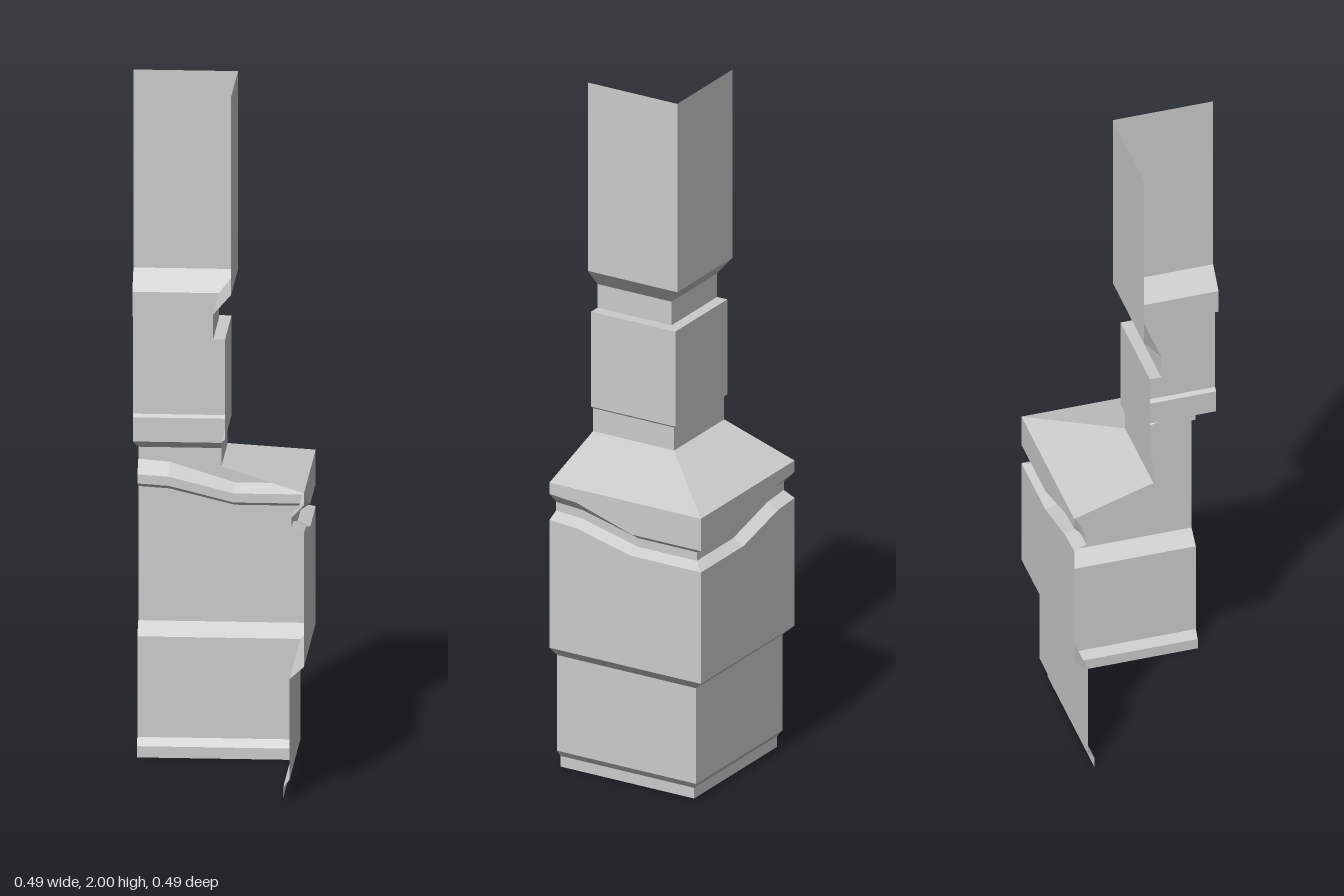
import * as THREE from 'three';

const END = 0.247; // where both wings stop

// Each band lists rows from top to bottom: [offset of the corner, height, rise toward the wing ends]
const bands = {
  upperPanel: [[0.043, 2, 0], [0.043, 1.435, 0]],
  upperNeck: [[0.043, 1.435, 0], [-0.007, 1.378, 0], [-0.007, 1.307, 0], [0.026, 1.307, 0]],
  middlePanel: [[0.026, 1.307, 0], [0.026, 1.022, 0]],
  lowerNeck: [[0.026, 1.022, 0], [0.016, 1.014, 0], [0.016, 0.945, 0]],
  slopedLedge: [[0.016, 0.945, 0], [0.245, 0.872, 0]],
  ledgeFascia: [[0.245, 0.872, 0], [0.245, 0.775, 0.063]],
  wavyGroove: [[0.245, 0.775, 0.063], [0.21, 0.752, 0.05], [0.21, 0.726, 0.05], [0.245, 0.711, 0.049]],
  lowerPanel: [[0.245, 0.711, 0.049], [0.245, 0.377, 0]],
  lowerBevel: [[0.245, 0.377, 0], [0.205, 0.341, 0]],
  skirtPanel: [[0.205, 0.341, 0], [0.205, 0.054, 0]],
  footRail: [[0.205, 0.054, 0], [0.187, 0.032, 0], [0.187, 0, 0]],
};

// One row of points: along the back wing, round the corner, along the side wing
function rowPoints([o, y, rise]) {
  const near = Math.min(0.02, o - 0.02);
  const z = -o - 0.001;
  return [
    [-END, y + rise, z], [-0.16, y + rise * 0.89, z], [near, y, z],
    [o, y, z],
    [o, y, -near], [o, y + rise * 0.89, 0.16], [o, y + rise, END],
  ];
}

// Sheet lofted through the rows, facing outwards
function loft(rows) {
  const pts = rows.map(rowPoints);
  const n = pts[0].length;
  const index = [];
  for (let r = 0; r < rows.length - 1; r++) {
    for (let i = 0; i < n - 1; i++) {
      const a = r * n + i, b = a + 1, c = a + n, d = c + 1;
      index.push(a, b, c, b, d, c);
    }
  }
  const indexed = new THREE.BufferGeometry();
  indexed.setAttribute('position', new THREE.Float32BufferAttribute(pts.flat(2), 3));
  indexed.setIndex(index);
  const geometry = indexed.toNonIndexed();
  geometry.computeVertexNormals();
  return geometry;
}

export function createModel() {
  const group = new THREE.Group();
  group.name = 'cornerTrim';
  const material = new THREE.MeshStandardMaterial({
    color: 0xcccccc, flatShading: true, side: THREE.DoubleSide,
  });
  for (const [name, rows] of Object.entries(bands)) {
    const mesh = new THREE.Mesh(loft(rows), material);
    mesh.name = name;
    group.add(mesh);
  }
  return group;
}
